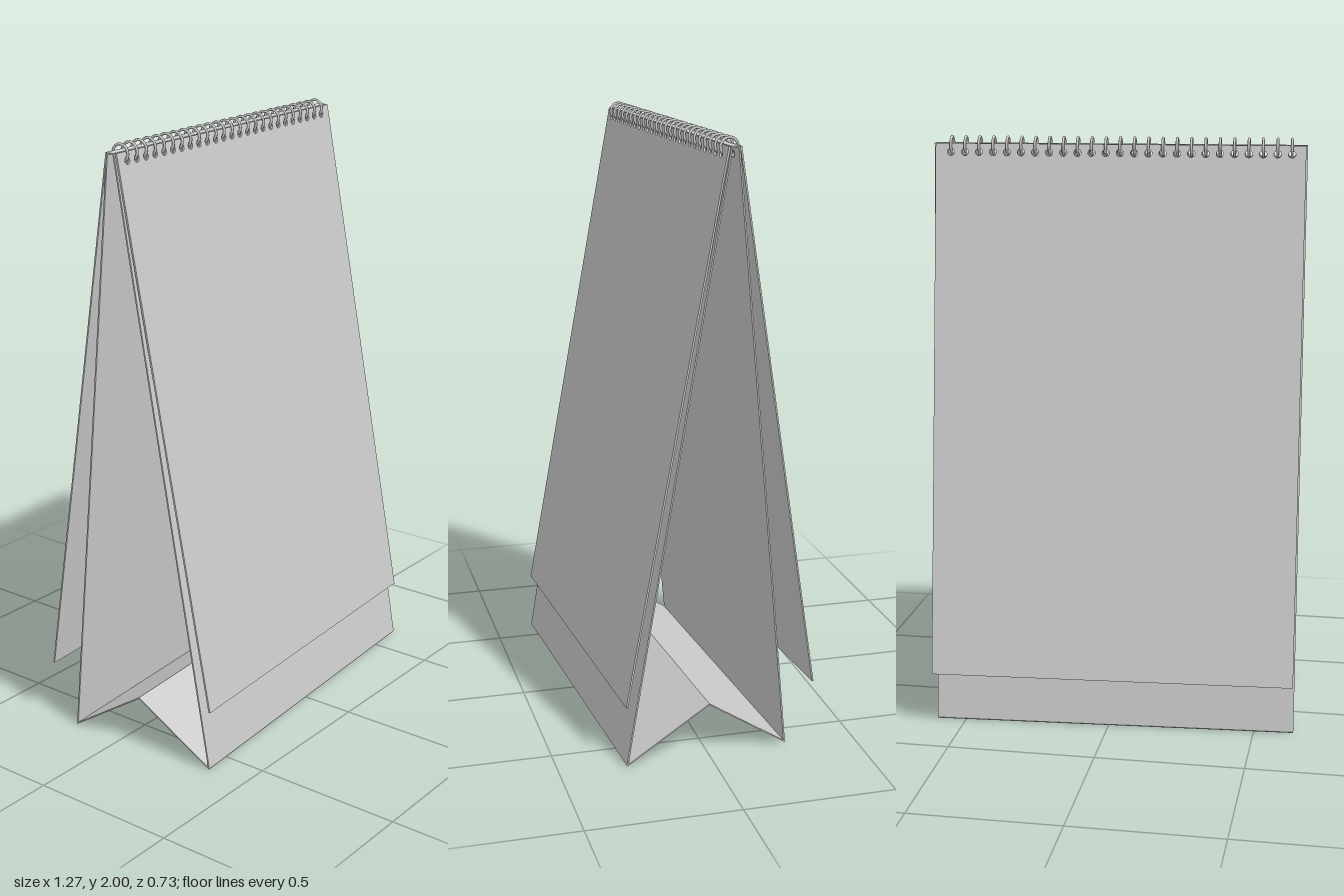
import * as THREE from 'three';

const RINGS = 25, RING_START = -0.568, RING_STEP = 1.13 / 24;
const RING_Y = 1.967, RING_Z = -0.032, RING_R = 0.0285, HOLE_Y = 1.947;

export function createModel() {
  const model = new THREE.Group();
  model.name = 'deskFlipCalendar';
  const mat = new THREE.MeshStandardMaterial({ color: 0xcccccc, side: THREE.DoubleSide });

  // Flat sheet spanning from a lower edge to an upper edge, both given as [z, y].
  // inward: -1 thickens away from the sheet's front side, +1 toward it.
  function sheet(name, low, high, halfWidth, thickness, inward, punched) {
    const dz = high[0] - low[0], dy = high[1] - low[1];
    const length = Math.hypot(dz, dy);
    const shape = new THREE.Shape();
    shape.moveTo(-halfWidth, 0);
    shape.lineTo(halfWidth, 0);
    shape.lineTo(halfWidth, length);
    shape.lineTo(-halfWidth, length);
    shape.closePath();
    if (punched) {
      const holeAt = length * (HOLE_Y - low[1]) / dy;
      for (let i = 0; i < RINGS; i++) {
        const hole = new THREE.Path();
        hole.absarc(RING_START + i * RING_STEP, holeAt, 0.012, 0, Math.PI * 2, true);
        shape.holes.push(hole);
      }
    }
    const geo = new THREE.ExtrudeGeometry(shape, { depth: thickness, bevelEnabled: false, curveSegments: 12 });
    if (inward < 0) geo.translate(0, 0, -thickness);
    const mesh = new THREE.Mesh(geo, mat);
    mesh.name = name;
    mesh.position.set(0, low[1], low[0]);
    mesh.rotation.x = Math.atan2(dz, dy);
    model.add(mesh);
  }

  // Folded card stand: two legs, a narrow top and a base folded up in the middle
  const front = [0.32, 0], back = [-0.23, 0], ridge = [0.038, 0.175];
  sheet('standFront', front, [-0.018, 1.975], 0.619, 0.005, -1, true);
  sheet('standBack', back, [-0.046, 1.975], 0.619, 0.005, 1, true);
  sheet('baseFoldFront', front, ridge, 0.619, 0.004, -1, false);
  sheet('baseFoldBack', back, ridge, 0.619, 0.004, 1, false);
  const top = new THREE.Mesh(new THREE.BoxGeometry(1.238, 0.004, 0.028), mat);
  top.name = 'standTop';
  top.position.set(0, 1.973, -0.032);
  model.add(top);

  // Page stack in front, turned pages behind
  sheet('frontPages', [0.32, 0.2], [-0.011, 1.975], 0.614, 0.006, -1, true);
  sheet('turnedPages', [-0.33, 0.2], [-0.053, 1.975], 0.614, 0.005, 1, true);

  // Wire rings through the punched holes
  const ringGeo = new THREE.TorusGeometry(RING_R, 0.0045, 8, 28);
  const rings = new THREE.Group();
  rings.name = 'bindingRings';
  for (let i = 0; i < RINGS; i++) {
    const ring = new THREE.Mesh(ringGeo, mat);
    ring.name = 'bindingRing';
    ring.rotation.y = Math.PI / 2;
    ring.position.set(RING_START + i * RING_STEP, RING_Y, RING_Z);
    rings.add(ring);
  }
  model.add(rings);

  // The whole calendar stands slightly turned
  model.rotation.y = 0.065;
  model.position.x = -0.003;
  const root = new THREE.Group();
  root.name = 'calendar';
  root.add(model);
  return root;
}
